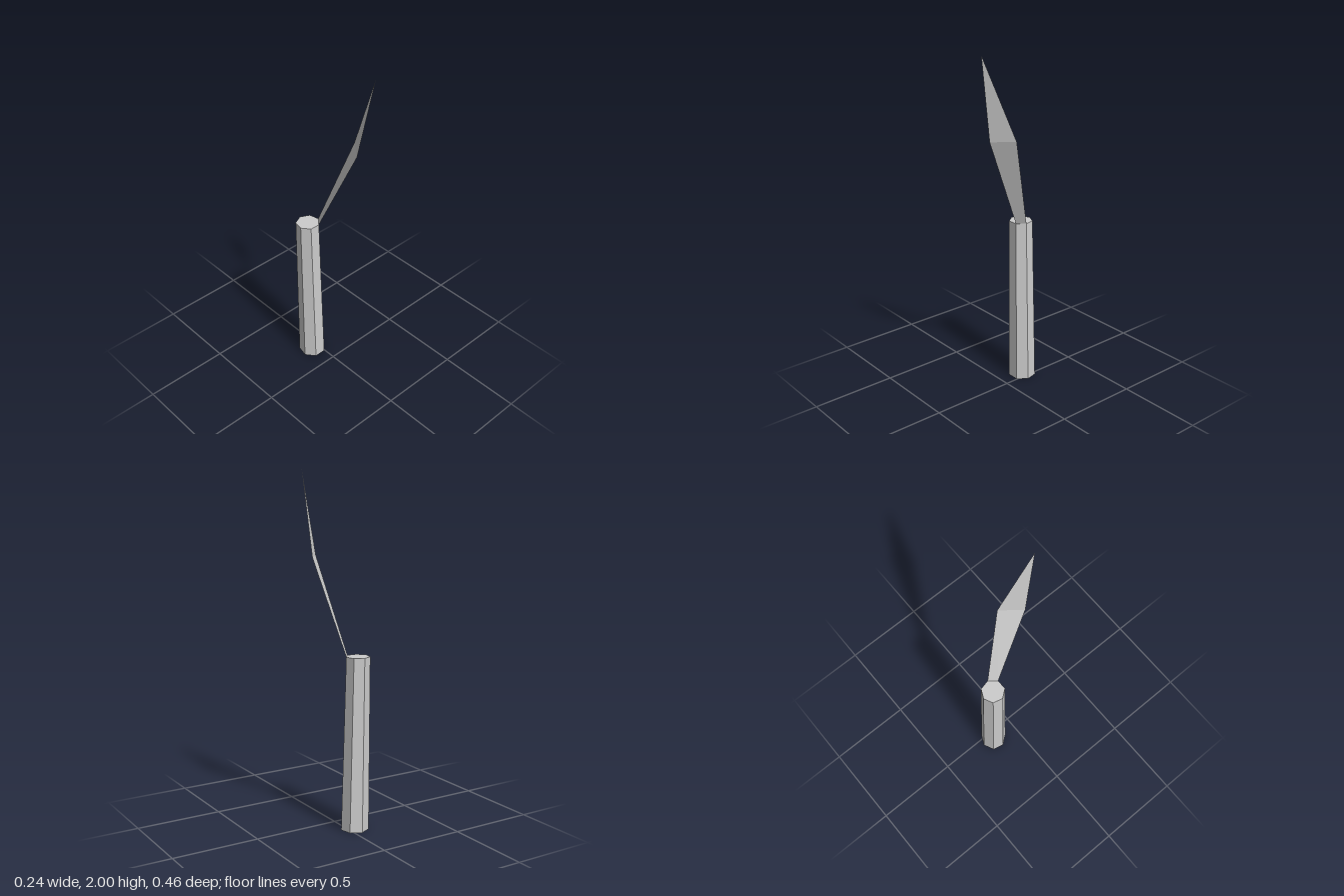
import * as THREE from 'three';

const SIDES = 7;
const HEIGHT = 0.99;
const TOP = { x: -0.057, z: -0.15, r: 0.068 };
const BOTTOM = { x: -0.039, z: -0.15, r: 0.08 };

const material = new THREE.MeshStandardMaterial({
  color: 0xcccccc,
  flatShading: true,
  side: THREE.DoubleSide,
});

function part(name, geometry) {
  const mesh = new THREE.Mesh(geometry, material);
  mesh.name = name;
  return mesh;
}

// Tapered seven-sided tube, open below, leaning slightly towards -x
function stemGeometry() {
  const g = new THREE.CylinderGeometry(TOP.r, BOTTOM.r, HEIGHT, SIDES, 1, true, Math.PI);
  const lean = (TOP.x - BOTTOM.x) / HEIGHT;
  g.translate(BOTTOM.x, HEIGHT / 2, BOTTOM.z);
  g.applyMatrix4(new THREE.Matrix4().makeShear(0, 0, lean, 0, 0, 0));
  const p = g.attributes.position;
  for (let i = 0; i < p.count; i++) {
    // set the lean explicitly from the height of each ring
    const top = p.getY(i) > HEIGHT / 2;
    const ring = top ? TOP : BOTTOM;
    const angle = Math.PI + ((i % (SIDES + 1)) / SIDES) * Math.PI * 2;
    p.setXYZ(i, ring.x + ring.r * Math.sin(angle), top ? HEIGHT : 0, ring.z + ring.r * Math.cos(angle));
  }
  g.computeVertexNormals();
  return g;
}

// Flat lid closing the top of the stem
function capGeometry() {
  return new THREE.CircleGeometry(TOP.r, SIDES, Math.PI / 2)
    .rotateX(-Math.PI / 2)
    .translate(TOP.x, HEIGHT, TOP.z);
}

// Thin blade growing from one top edge: widens, bends, then ends in a point
function leafGeometry() {
  const points = [
    -0.028, HEIGHT, -0.089,
    0.009, HEIGHT, -0.135,
    0.121, 1.525, 0.034,
    0.032, 1.525, 0.146,
    0.072, 2.0, 0.228,
  ];
  const g = new THREE.BufferGeometry();
  g.setAttribute('position', new THREE.Float32BufferAttribute(points, 3));
  g.setIndex([0, 1, 2, 0, 2, 3, 3, 2, 4]);
  const flat = g.toNonIndexed();
  flat.computeVertexNormals();
  return flat;
}

export function createModel() {
  const model = new THREE.Group();
  model.name = 'plant';
  model.add(
    part('stem', stemGeometry()),
    part('stemTop', capGeometry()),
    part('leaf', leafGeometry()),
  );
  return model;
}
